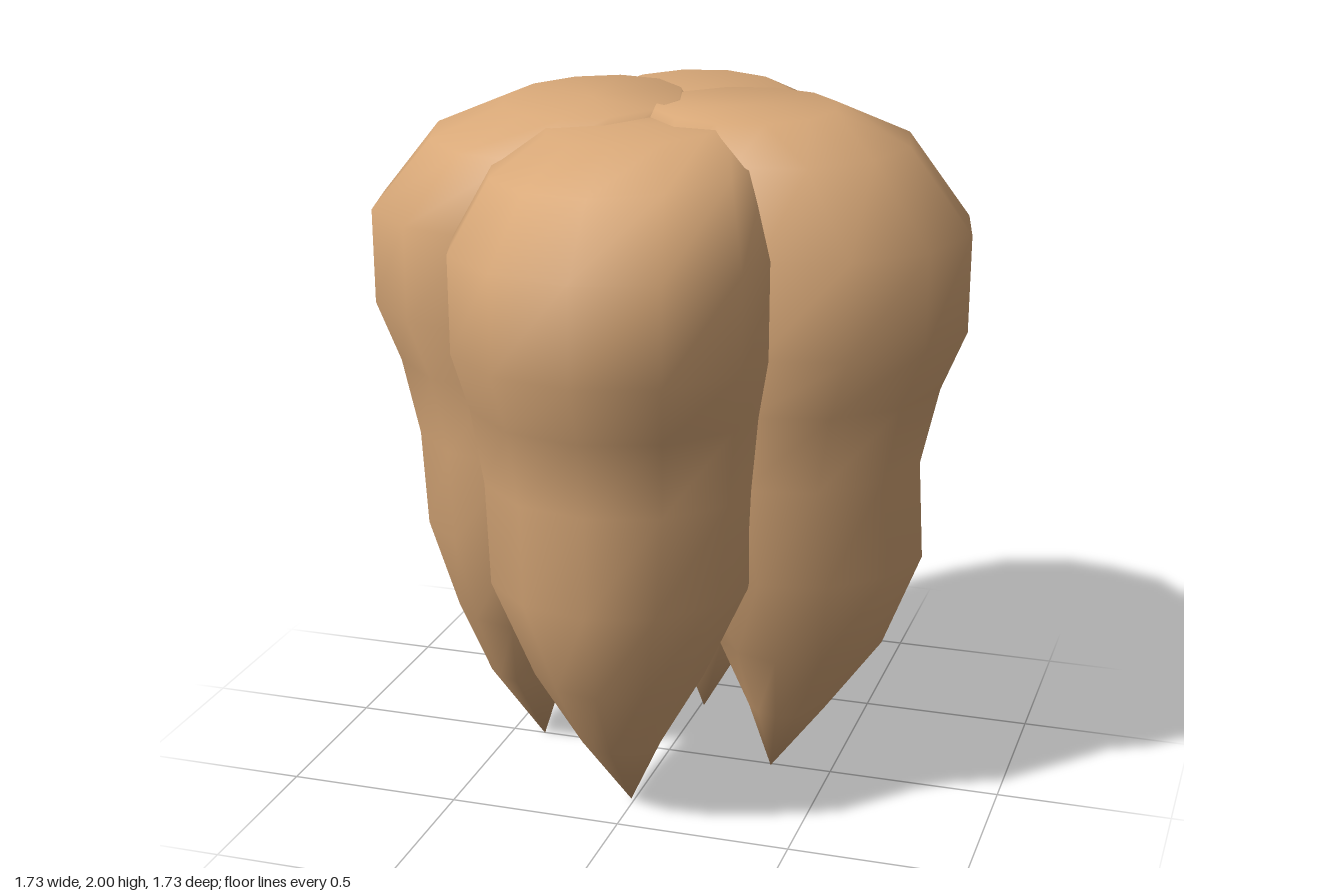
import * as THREE from 'three';

const SIDES = 12;

// Cross-sections from crown to root: height, distance from the axis, radius
const RINGS = [
  [1.98, 0.225, 0.255],
  [1.895, 0.31, 0.38],
  [1.67, 0.41, 0.457],
  [1.4, 0.41, 0.455],
  [1.23, 0.375, 0.42],
  [1.01, 0.35, 0.395],
  [0.73, 0.385, 0.37],
  [0.45, 0.405, 0.245],
  [0.22, 0.38, 0.115],
];

// One lobe: a loft with a flat crown cap, closing to a pointed root
function lobeGeometry({ angle, side, twist, drop, tiltX, tiltZ, lower, tip }) {
  const out = [Math.sin(angle), Math.cos(angle)];
  const lat = [Math.cos(angle), -Math.sin(angle)];
  const pos = [];
  const index = [];
  const put = (o, l, y) => pos.push(out[0] * o + lat[0] * l, y, out[1] * o + lat[1] * l);

  RINGS.forEach(([y, c, r], i) => {
    const centre = c + (i > 5 ? lower[i - 6] : 0);
    for (let k = 0; k < SIDES; k++) {
      const t = (k / SIDES) * Math.PI * 2 + twist;
      const o = Math.cos(t) * r;
      const l = Math.sin(t) * r;
      // The crown is slightly tilted
      const dx = out[0] * o + lat[0] * l;
      const dz = out[1] * o + lat[1] * l;
      const lift = i < 2 ? tiltX * dx + tiltZ * dz - drop : 0;
      put(centre + o, side + l, y + lift);
    }
  });

  for (let i = 0; i < RINGS.length - 1; i++) {
    for (let k = 0; k < SIDES; k++) {
      const a = i * SIDES + k;
      const b = i * SIDES + ((k + 1) % SIDES);
      index.push(a, a + SIDES, b, b, a + SIDES, b + SIDES);
    }
  }

  // Crown cap and root tip
  const top = pos.length / 3;
  put(RINGS[0][1], side, RINGS[0][0] - drop);
  put(tip, side * 0.5, 0);
  const last = (RINGS.length - 1) * SIDES;
  for (let k = 0; k < SIDES; k++) {
    const n = (k + 1) % SIDES;
    index.push(top, k, n, last + k, top + 1, last + n);
  }

  const geometry = new THREE.BufferGeometry();
  geometry.setAttribute('position', new THREE.Float32BufferAttribute(pos, 3));
  geometry.setIndex(index);
  geometry.computeVertexNormals();
  return geometry;
}

export function createModel() {
  const group = new THREE.Group();
  group.name = 'fourLobedMolar';
  const tan = new THREE.MeshStandardMaterial({ color: 0xd8a878 });
  tan.name = 'tan';

  const lobes = {
    frontLobe: { angle: 0, side: -0.02, twist: 0.045, drop: 0.022, tiltX: 0.05, tiltZ: -0.05, lower: [0, 0, 0.015], tip: 0.34 },
    leftLobe: { angle: Math.PI / 2, side: -0.02, twist: -0.045, drop: -0.005, tiltX: 0, tiltZ: -0.02, lower: [0.005, 0, -0.01], tip: 0.32 },
    backLobe: { angle: Math.PI, side: -0.02, twist: -0.045, drop: 0.012, tiltX: -0.02, tiltZ: -0.08, lower: [0, 0, 0.015], tip: 0.335 },
    rightLobe: { angle: -Math.PI / 2, side: 0.005, twist: 0, drop: -0.002, tiltX: 0.03, tiltZ: -0.07, lower: [-0.025, 0, 0.065], tip: 0.4 },
  };
  for (const [name, spec] of Object.entries(lobes)) {
    const mesh = new THREE.Mesh(lobeGeometry(spec), tan);
    mesh.name = name;
    group.add(mesh);
  }
  return group;
}
